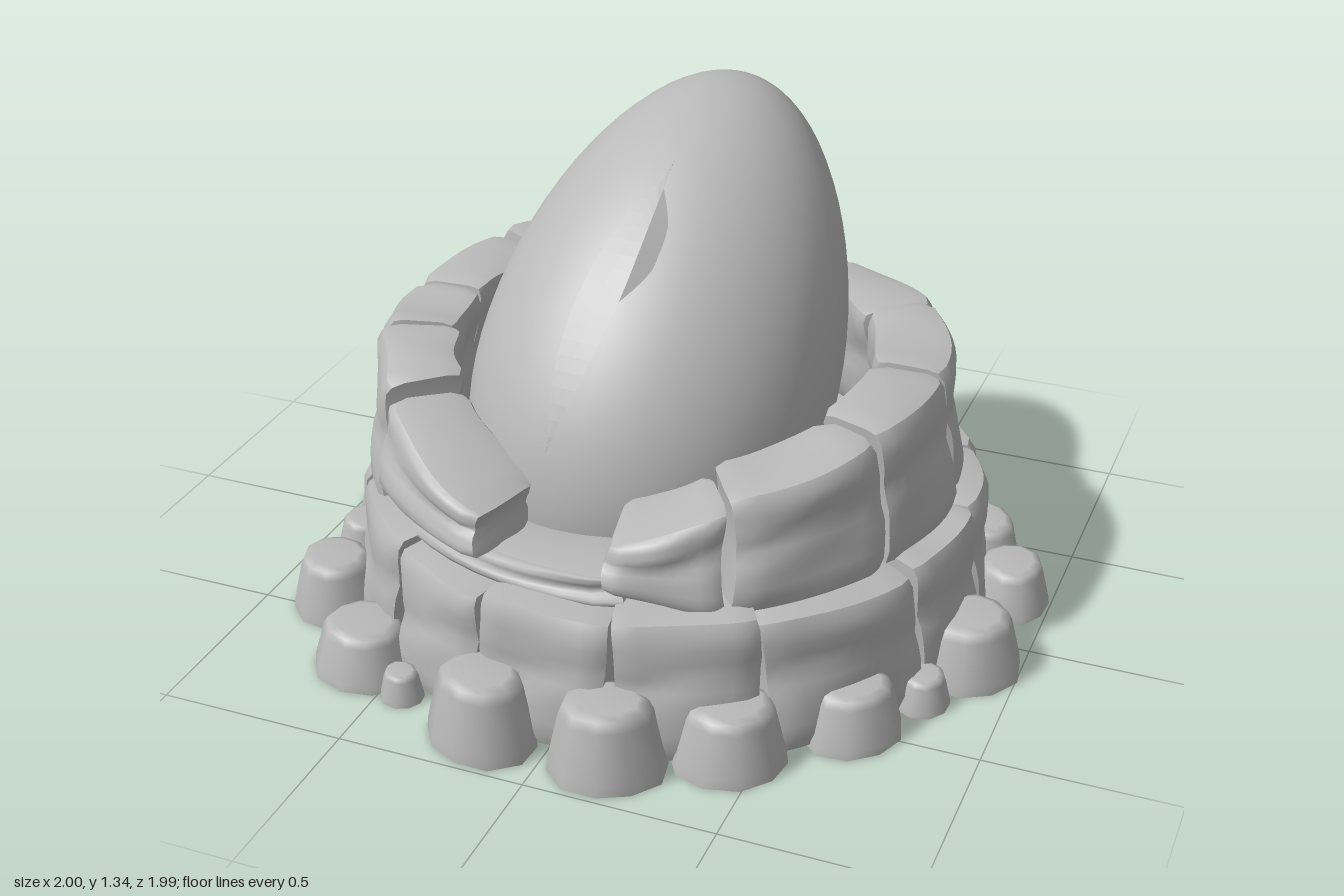
import * as THREE from 'three';

const stone = new THREE.MeshStandardMaterial({ color: 0xb9b9b9, side: THREE.DoubleSide });
stone.name = 'grey stone';
const rad = THREE.MathUtils.degToRad;
const lerp = THREE.MathUtils.lerp;

// Egg radius at height y along its own axis, narrower towards the tip
const TIP = 0.755, BASE = 0.725;
const eggRadius = (y) => {
  const c = THREE.MathUtils.clamp(y / (y > 0 ? TIP : BASE), -1, 1);
  return 0.474 * Math.sqrt(1 - c * c) * (1 - 0.14 * c);
};

function named(geometry, name) {
  const mesh = new THREE.Mesh(geometry, stone);
  mesh.name = name;
  return mesh;
}

// Wall block: a box bent around the ring, with pinched edges and worn, uneven faces.
// a0..a1 are degrees from the front towards +x; b and t are bottom and top heights at each end.
function block(name, seed, a0, a1, b0, b1, t0, t1, inner, outer, lean) {
  const g = new THREE.BoxGeometry(2, 2, 2, 10, 10, 4);
  const p = g.attributes.position;
  const pinch = (a, b) => Math.max(0, Math.abs(a) + Math.abs(b) - 1.8) * 0.06;
  for (let i = 0; i < p.count; i++) {
    const x = p.getX(i), y = p.getY(i), z = p.getZ(i);
    const u = (x + 1) / 2, v = (y + 1) / 2, w = (z + 1) / 2;
    const bottom = lerp(b0, b1, u), top = lerp(t0, t1, u);
    const wear = 0.008 * Math.sin(3 * x + 2.1 * seed) * Math.cos(2.5 * y + seed);
    const crease = 0.012 * Math.exp(-Math.pow((y - 0.1 - 0.15 * Math.sin(2 * x + seed)) * 5, 2));
    let r = lerp(inner, outer, w) - lean * v;
    r += (w - 0.5) * 2 * (wear - crease - pinch(x, z) - pinch(y, z));
    const h = lerp(bottom, top, v)
      - (y > 0 ? 1 : 0) * (pinch(y, z) * 0.7 + pinch(x, y) * 0.5)
      + (v > 0.5 ? 0.006 * Math.sin(4 * u + seed * 3 + z) : 0);
    const half = (a1 - a0) / 2 - 0.3;
    const a = rad((a0 + a1) / 2 + half * x * (1 - pinch(x, z) * 2)
      + 0.8 * Math.sin(2 * y + seed));
    p.setXYZ(i, Math.sin(a) * r, Math.max(0.01, h), Math.cos(a) * r);
  }
  // Blocks standing on the ground are open underneath
  if (b0 < 0.05) {
    const { start, count } = g.groups[3];
    const index = Array.from(g.index.array);
    index.splice(start, count);
    g.setIndex(index);
  }
  g.clearGroups();
  g.computeVertexNormals();
  return named(g, name);
}

// Squat foot stone with a rounded top, open underneath, widened along the wall
function footStone(x, z, r, h, i) {
  const profile = [[1, 0], [0.98, 0.15], [0.78, 0.82], [0.7, 0.95], [0.54, 1], [0, 1]]
    .map(([a, b]) => new THREE.Vector2(Math.max(a, 0.0001) * r, b * h));
  const g = new THREE.LatheGeometry(profile, 10);
  const p = g.attributes.position;
  for (let k = 0; k < p.count; k++) {
    const a = Math.atan2(p.getX(k), p.getZ(k));
    const s = 1 + 0.03 * Math.sin(2 * a + i) + 0.03 * Math.sin(3 * a + 2 * i);
    p.setX(k, p.getX(k) * s * 1.14);
    p.setZ(k, p.getZ(k) * s);
  }
  const mesh = named(g, 'footStone');
  mesh.position.set(x, 0, z);
  mesh.rotation.y = Math.atan2(x, z);
  return mesh;
}

// Sliver of shell: a thin leaf standing just proud of the egg, chipped on its upper right
function shellCrack() {
  const pos = [], idx = [], rows = 20, cols = 4;
  for (let i = 0; i <= rows; i++) {
    const t = i / rows, y = -0.42 + 0.8 * t;
    const bow = Math.sin(Math.PI * t);
    const mid = -0.085 + 0.085 * t - 0.01 * bow, half = 0.056 * bow;
    const chip = t > 0.5 && t < 0.9 ? Math.sin(Math.PI * (t - 0.5) / 0.4) : 0;
    const columns = [
      [mid - half, 0.012], [mid, 0.013], [mid + half, 0.012 + 0.008 * chip],
      [mid + half + 0.05 * chip, 0.012 - 0.016 * chip],
    ];
    for (const [x, lift] of columns) {
      const r = eggRadius(y) + lift;
      pos.push(x, y, Math.sqrt(r * r - x * x));
    }
    for (let j = 0; i < rows && j < cols - 1; j++) {
      const a = i * cols + j, b = a + cols;
      idx.push(a, a + 1, b, a + 1, b + 1, b);
    }
  }
  const g = new THREE.BufferGeometry();
  g.setAttribute('position', new THREE.Float32BufferAttribute(pos, 3));
  g.setIndex(idx);
  const flat = g.toNonIndexed();
  flat.computeVertexNormals();
  return named(flat, 'shellCrack');
}

export function createModel() {
  const model = new THREE.Group();
  model.name = 'eggInStoneNest';

  // Egg leaning back
  const egg = new THREE.Group();
  egg.name = 'egg';
  const profile = [];
  for (let i = 0; i <= 36; i++) {
    const c = -Math.cos(Math.PI * i / 36);
    const y = c * (c > 0 ? TIP : BASE);
    profile.push(new THREE.Vector2(Math.max(eggRadius(y), 0.0001), y));
  }
  egg.add(named(new THREE.LatheGeometry(profile, 40), 'eggShell'), shellCrack());
  egg.rotation.set(rad(-39), 0, -0.08, 'ZXY');
  egg.position.set(-0.045, 0.695, -0.062);
  model.add(egg);

  // Lower course of the wall
  const lower = new THREE.Group();
  lower.name = 'lowerCourse';
  const joints = [-15, 10, 36, 69, 93, 118, 144, 172, 198, 222, 248, 272, 297, 323, 345];
  for (let i = 0; i < joints.length - 1; i++) {
    const top = 0.38 + 0.012 * Math.sin(i * 2.3);
    lower.add(block('lowerBlock', i, joints[i], joints[i + 1], 0.01, 0.01, top, top, 0.55, 0.86, 0.03));
  }
  model.add(lower);

  // Upper course: start angle, end angle, top height at each end
  const upper = new THREE.Group();
  upper.name = 'upperCourse';
  [
    [33, 66, 0.67, 0.71], [66, 95, 0.735, 0.745], [95, 127, 0.75, 0.75],
    [127, 160, 0.74, 0.72], [160, 189, 0.72, 0.71], [189, 214, 0.71, 0.73],
    [214, 241, 0.79, 0.8], [241, 268, 0.78, 0.77], [268, 290, 0.76, 0.77],
    [290, 309, 0.77, 0.71],
  ].forEach(([a0, a1, t0, t1], i) => {
    upper.add(block('upperBlock', i + 20, a0, a1, 0.375, 0.375, t0, t1, 0.585, 0.795, 0.045));
  });
  // Broken front of the upper course
  upper.add(
    block('frontSlab', 41, 310, 374, 0.37, 0.37, 0.44, 0.445, 0.54, 0.76, 0.02),
    block('slippedBlock', 42, 311, 345, 0.46, 0.44, 0.68, 0.555, 0.57, 0.8, 0.04),
    block('brokenBlock', 43, 10, 33, 0.43, 0.36, 0.55, 0.62, 0.55, 0.785, 0.04),
  );
  upper.position.set(-0.025, 0, -0.005);
  model.add(upper);

  // Foot stones around the base: x, z, radius, height
  const feet = new THREE.Group();
  feet.name = 'footStones';
  [
    [-0.4, -0.83, 0.14, 0.17], [-0.02, -0.87, 0.13, 0.15], [0.26, -0.84, 0.09, 0.13],
    [0.5, -0.65, 0.125, 0.15], [0.65, -0.51, 0.06, 0.09], [0.77, -0.38, 0.11, 0.15],
    [0.89, -0.22, 0.11, 0.13], [0.87, 0.13, 0.13, 0.17], [0.8, 0.32, 0.07, 0.09],
    [0.67, 0.5, 0.12, 0.15], [0.43, 0.72, 0.13, 0.17], [0.16, 0.86, 0.13, 0.2],
    [-0.17, 0.86, 0.13, 0.2], [-0.44, 0.78, 0.055, 0.08], [-0.59, 0.69, 0.13, 0.14],
    [-0.8, 0.46, 0.12, 0.16], [-0.87, 0.17, 0.08, 0.1], [-0.9, -0.06, 0.1, 0.13],
    [-0.86, -0.28, 0.13, 0.15], [-0.72, -0.61, 0.14, 0.17],
  ].forEach(([x, z, r, h], i) => feet.add(footStone(x, z, r, h, i)));
  model.add(feet);

  return model;
}
